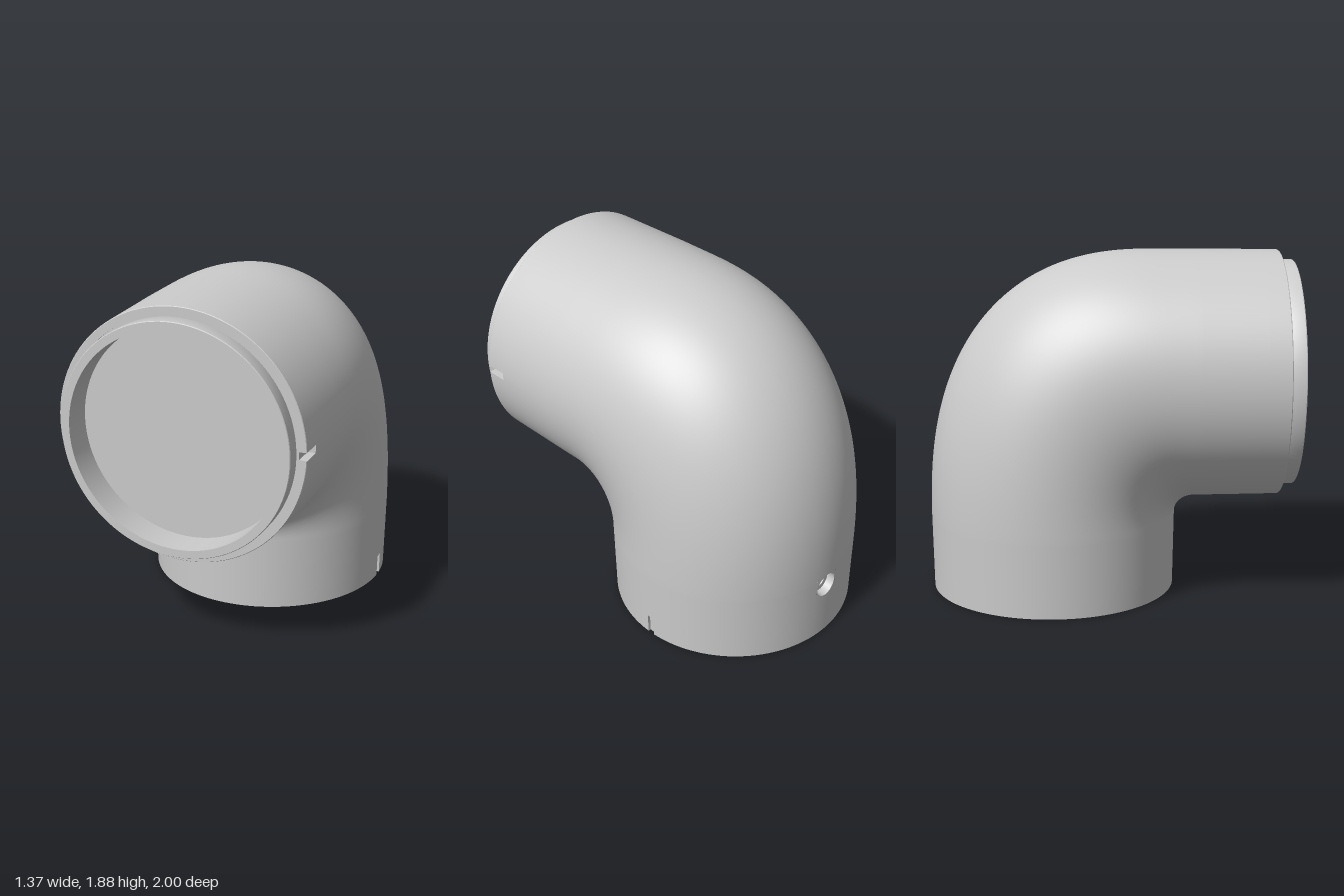
import * as THREE from 'three';
import { toCreasedNormals } from 'three/addons/utils/BufferGeometryUtils.js';

const V = (x, y, z) => new THREE.Vector3(x, y, z);
const AXIS_Z = -0.32, AXIS_Y = 1.195, BEND_Y = 0.415, SIDE = 0.683;
const HOLE_Y = 0.34, HALF = 0.075, N = 8; // square window around the rear hole
const HALF_U = HALF / 0.68;

// Surface through rows of points; skip(row, column) leaves a cell open
function skin(rows, skip = () => false) {
  const n = rows[0].length, index = [];
  for (let j = 0; j < rows.length - 1; j++) {
    for (let i = 0; i < n - 1; i++) {
      if (skip(j, i)) continue;
      const a = j * n + i, b = a + n;
      index.push(a, b, a + 1, a + 1, b, b + 1);
    }
  }
  const geo = new THREE.BufferGeometry().setFromPoints(rows.flat());
  geo.setIndex(index);
  return toCreasedNormals(geo, 0.5);
}

// Angles round the pipe: fine over the window, with sharp edges at the side slots
function angles() {
  const list = [];
  for (let i = 0; i <= N; i++) list.push(-HALF_U + (2 * HALF_U * i) / N);
  const slot = Math.PI / 2, end = Math.PI * 2 - HALF_U;
  const span = (a, b, n) => { for (let i = 1; i <= n; i++) list.push(a + ((b - a) * i) / n); };
  span(HALF_U, slot - 0.032, 26);
  list.push(slot - 0.03, slot + 0.03, slot + 0.032);
  span(slot + 0.032, end, 88);
  return list;
}
const US = angles();

// One section: inner and outer point as [z, y], half width, slot depth
function section([zi, yi], [zo, yo], w, dent = 0) {
  return US.map((u) => {
    const inSlot = Math.abs(u - Math.PI / 2) < 0.031;
    const c = Math.cos(u) / 2, s = Math.sin(u);
    return V(s * (w - (inSlot ? dent : 0)),
      (yi + yo) / 2 + c * (yo - yi), (zi + zo) / 2 + c * (zo - zi));
  });
}
const taper = (y) => 0.673 + (0.007 * y) / BEND_Y;
const upright = (y, r = taper(y), dent = 0) =>
  section([AXIS_Z + r, y], [AXIS_Z - r, y], r + (0.003 * y) / BEND_Y, dent);
const level = (z, r, dent = 0) => section([z, AXIS_Y - r], [z, AXIS_Y + r], r, dent);

function elbowGeometry() {
  // Lower socket, from the stepped recess wall round the rim and up
  const rows = [upright(0.15, 0.632), upright(0.12, 0.632), upright(0.12, 0.652),
    upright(0, 0.652), upright(0, taper(0), 0.015), upright(0.115, taper(0.115), 0.015),
    upright(0.118)];
  const first = rows.length;
  for (let i = 0; i <= N; i++) rows.push(upright(HOLE_Y - HALF + (2 * HALF * i) / N));
  // Bend: tight inner fillet, wide and slightly squared outer curve
  const power = 2 / 2.4;
  for (let i = 1; i <= 48; i++) {
    const a = (Math.PI / 2) * (i / 48), c = Math.cos(a), s = Math.sin(a);
    rows.push(section([0.46 - 0.1 * c, BEND_Y + 0.1 * s],
      [0.23 - 1.23 * c ** power, BEND_Y + 1.46 * s ** power], SIDE));
  }
  for (let i = 1; i <= 5; i++) rows.push(section([0.46, 0.515], [0.23 + 0.046 * i, 1.875], SIDE));
  // Front socket with its side slot and shoulder
  rows.push(level(0.8, 0.676), level(0.803, 0.676, 0.04), level(0.914, 0.674, 0.041),
    level(0.918, 0.671, 0.037), level(0.918, 0.63), level(0.908, 0.63), level(0.908, 0.615));
  return skin(rows, (j, i) => j >= first && j < first + N && i < N);
}

// Stepped hole with a surround that closes the square window
function rearHoleGeometry() {
  const loop = [];
  for (let k = 0; k <= 4 * N; k++) {
    const t = ((k % N) / N) * 2 - 1;
    loop.push([[1, t], [-t, 1], [-1, -t], [t, -1]][Math.floor(k / N) % 4]);
  }
  const onPipe = (a, b) => {
    const y = HOLE_Y + b * HALF, r = taper(y), u = a * HALF_U;
    return V(r * Math.sin(u), y, AXIS_Z - r * Math.cos(u));
  };
  const circle = (r, z) => loop.map(([a, b]) => {
    const l = Math.hypot(a, b);
    return V((r * a) / l, HOLE_Y + (r * b) / l, z);
  });
  const edge = loop.map(([a, b]) => {
    const l = Math.hypot(a, b) / 0.95;
    return onPipe(a / l, b / l);
  });
  return skin([loop.map(([a, b]) => onPipe(a, b)), edge, circle(0.068, -0.95),
    circle(0.04, -0.95), circle(0.04, -0.88), circle(0.001, -0.88)]);
}

export function createModel() {
  const group = new THREE.Group();
  const material = new THREE.MeshStandardMaterial({ color: 0xcccccc });
  const add = (name, geo, parent = group) => {
    const mesh = new THREE.Mesh(geo, material);
    mesh.name = name;
    parent.add(mesh);
    return mesh;
  };

  add('elbowBody', elbowGeometry());
  add('rearHole', rearHoleGeometry());

  // Spigot ring at the front opening
  add('frontCollar', skin([level(0.908, 0.615), level(0.918, 0.62), level(0.996, 0.62),
    level(1, 0.617), level(1, 0.574), level(0.835, 0.574)]));
  add('frontPlate', new THREE.CircleGeometry(0.575, 120)).position.set(0, AXIS_Y, 0.835);

  // Recessed plate and locating tabs inside the lower opening
  const plate = add('bottomPlate', new THREE.CircleGeometry(0.634, 120));
  plate.rotation.x = Math.PI / 2;
  plate.position.set(0, 0.15, AXIS_Z);
  const tabs = new THREE.Group();
  tabs.name = 'bottomTabs';
  group.add(tabs);
  for (let i = 0; i < 12; i++) {
    const a = (i / 12) * Math.PI * 2;
    const tab = add('bottomTab', new THREE.BoxGeometry(0.05, 0.03, 0.04), tabs);
    tab.position.set(0.615 * Math.sin(a), 0.136, AXIS_Z + 0.615 * Math.cos(a));
    tab.rotation.y = a;
  }
  return group;
}
